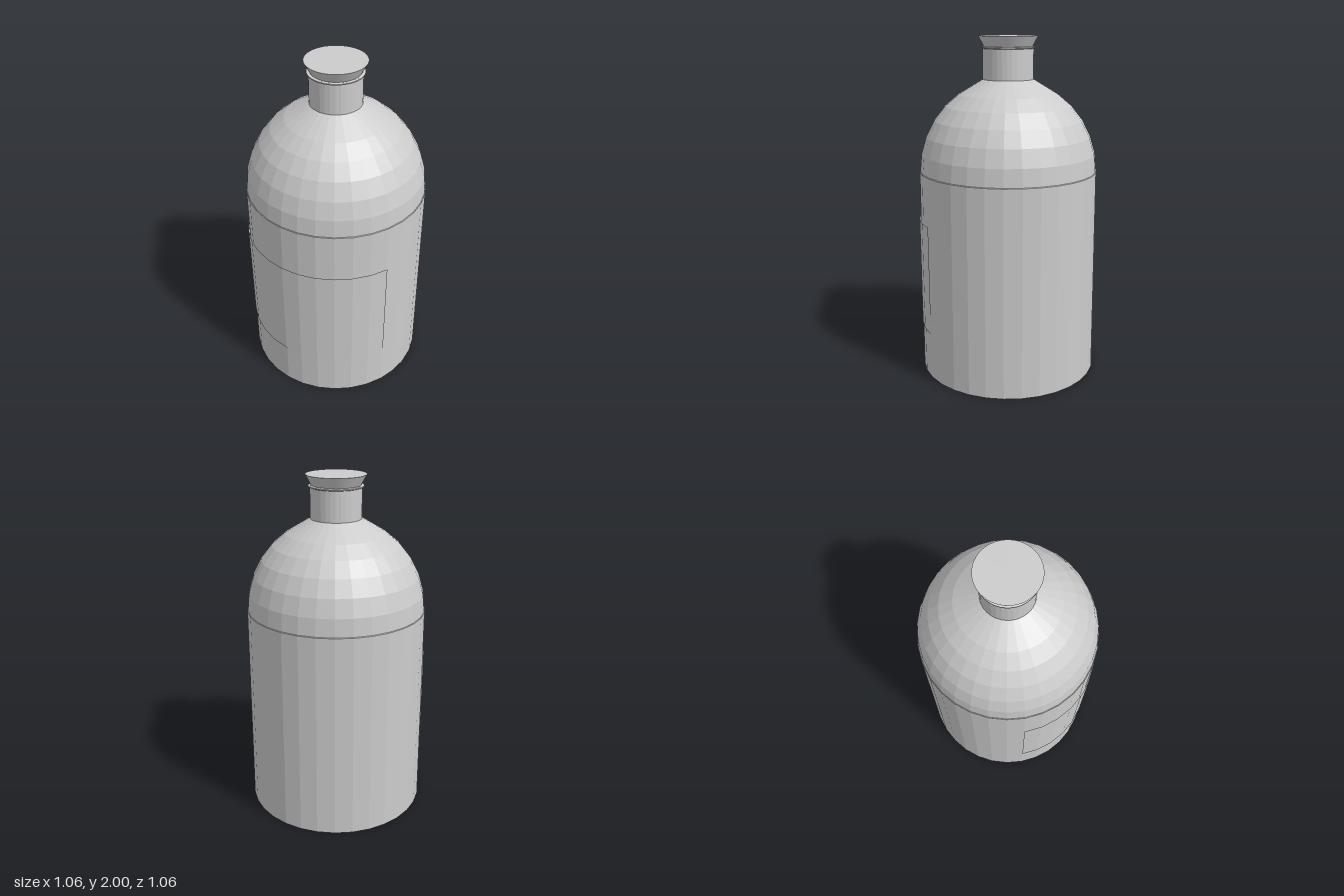
import * as THREE from 'three';

const SIDES = 32;

export function createModel() {
  const group = new THREE.Group();
  group.name = 'bottle';
  const flat = new THREE.MeshStandardMaterial({ color: 0xcccccc, flatShading: true, side: THREE.DoubleSide });
  const smooth = new THREE.MeshStandardMaterial({ color: 0xcccccc, side: THREE.DoubleSide });

  const add = (name, geometry, material, y = 0) => {
    const mesh = new THREE.Mesh(geometry, material);
    mesh.name = name;
    mesh.position.y = y;
    group.add(mesh);
    return mesh;
  };
  const lathe = (points) =>
    new THREE.LatheGeometry(points.map(([r, y]) => new THREE.Vector2(r, y)), SIDES);

  // Slightly tapered body with a closed base
  add('body', lathe([[0, 0], [0.53, 0], [0.523, 1.225], [0.518, 1.23]]), flat);

  // Domed shoulder: stepped arc that runs straight into the neck
  const dome = [];
  for (let i = 0; i <= 5; i++) {
    const a = (i * Math.PI) / 16;
    dome.push([0.52 * Math.cos(a), 1.225 + 0.535 * Math.sin(a)]);
  }
  dome.push([0.148, 1.755]);
  add('shoulder', lathe(dome), flat);

  // Neck with a thin lip at the mouth
  add('neck', new THREE.CylinderGeometry(0.148, 0.148, 0.19, SIDES, 1, true), flat, 1.845);
  add('lip', lathe([[0.148, 1.928], [0.158, 1.932], [0.158, 1.938], [0.135, 1.942]]), flat);

  // Flared stopper
  add('stopper', new THREE.CylinderGeometry(0.173, 0.138, 0.065, 48), smooth, 1.9675);

  // Label wrapped around the front, from the right side towards the left
  const step = (Math.PI * 2) / SIDES;
  add('label', new THREE.CylinderGeometry(0.533, 0.533, 0.66, 11, 1, true, -4 * step, 11 * step), flat, 0.61);

  return group;
}
